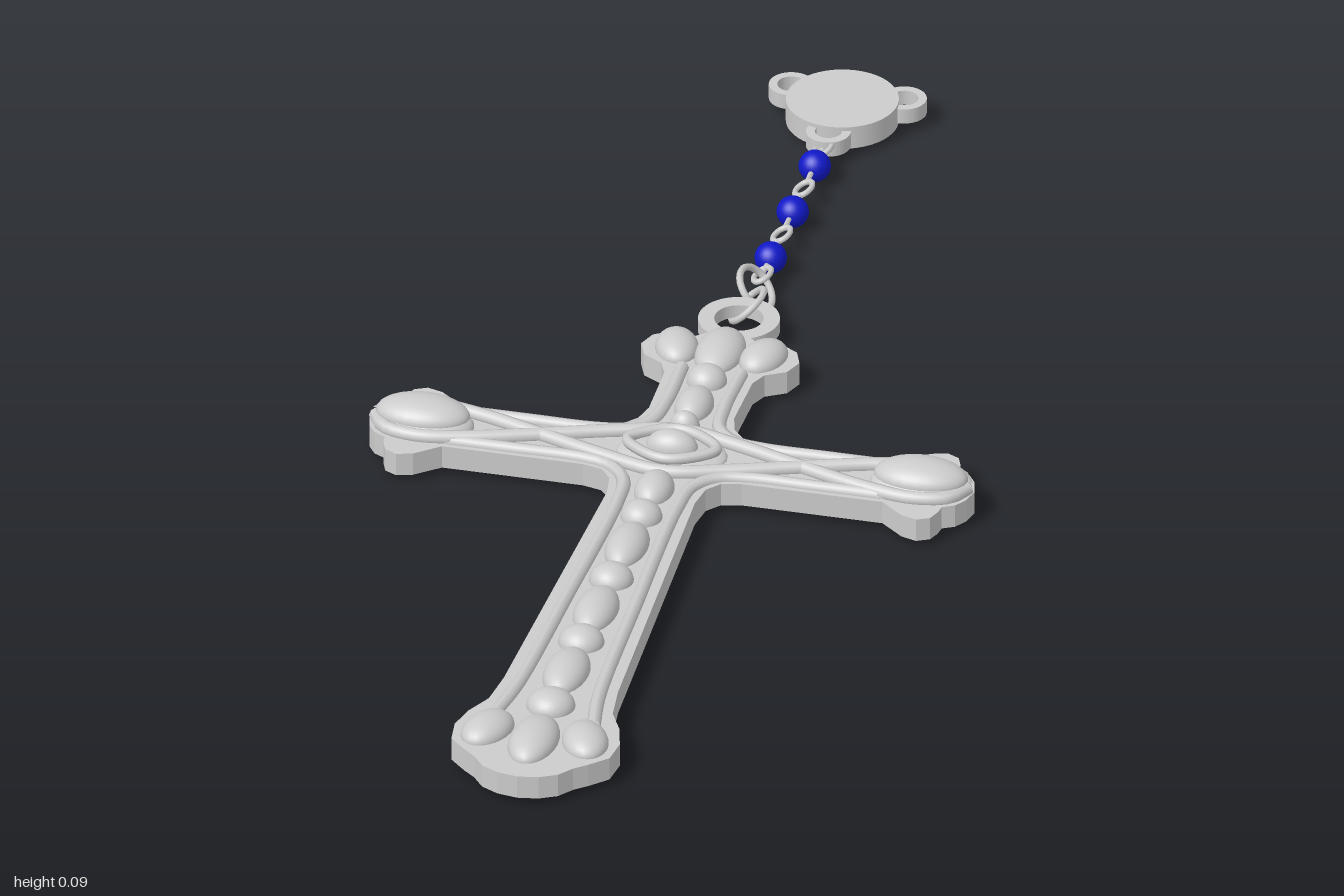
import * as THREE from 'three';

const grey = new THREE.MeshStandardMaterial({ color: 0xcccccc });
const blue = new THREE.MeshStandardMaterial({ color: 0x1018c8 });
const ARM_Z = 0.085; // centre line of the crossbar

export function createModel() {
  const model = new THREE.Group();

  function add(parent, name, geometry, material = grey) {
    const mesh = new THREE.Mesh(geometry, material);
    mesh.name = name;
    parent.add(mesh);
    return mesh;
  }
  function group(name) {
    const g = new THREE.Group();
    g.name = name;
    model.add(g);
    return g;
  }
  // Flat plate from a shape drawn in (x, -z), between two heights
  function plate(shape, y0, y1) {
    const g = new THREE.ExtrudeGeometry(shape, { depth: y1 - y0, bevelEnabled: false, curveSegments: 24 });
    return g.rotateX(-Math.PI / 2).translate(0, y0, 0);
  }
  function flatRing(parent, name, x, z, outer, inner, y0, y1) {
    const s = new THREE.Shape().absarc(0, 0, outer, 0, Math.PI * 2);
    s.holes.push(new THREE.Path().absarc(0, 0, inner, 0, Math.PI * 2));
    add(parent, name, plate(s, y0, y1)).position.set(x, 0, z);
  }
  // Half-ellipsoid ornament
  function dome(parent, name, x, z, rx, rz, y, h, turn = 0) {
    const g = new THREE.SphereGeometry(1, 24, 10, 0, Math.PI * 2, 0, Math.PI / 2);
    const m = add(parent, name, g.scale(rx, h, rz));
    m.position.set(x, y, z);
    m.rotation.y = turn;
  }
  // Raised strand following (x, z) points
  function strand(parent, name, points, y, r, closed = false) {
    const curve = new THREE.CatmullRomCurve3(points.map(([x, z]) => new THREE.Vector3(x, 0, z)), closed);
    add(parent, name, new THREE.TubeGeometry(curve, 64, r, 8, closed)).position.y = y;
  }

  // Cross body: half outline, mirrored
  const cross = group('cross');
  const corner = [[0.32, 0.058], [0.337, 0.072], [0.355, 0.087], [0.378, 0.094], [0.396, 0.085],
    [0.403, 0.067], [0.405, 0.052], [0.422, 0.043], [0.434, 0.025]];
  const half = [
    [0, -0.262], [0.025, -0.257], [0.045, -0.238], [0.055, -0.243], [0.08, -0.243], [0.105, -0.227],
    [0.115, -0.2], [0.104, -0.172], [0.075, -0.155], [0.064, -0.13], [0.062, -0.03], [0.07, 0], [0.087, 0.02], [0.115, 0.027],
    ...corner.map(([x, d]) => [x, ARM_Z - d]), [0.44, ARM_Z],
    ...[...corner].reverse().map(([x, d]) => [x, ARM_Z + d]),
    [0.115, 0.143], [0.087, 0.15], [0.07, 0.17], [0.064, 0.21], [0.083, 0.74], [0.09, 0.8], [0.11, 0.84],
    [0.12, 0.88], [0.115, 0.92], [0.09, 0.945], [0.072, 0.96], [0.055, 0.982], [0.03, 0.995], [0, 1]];
  const mirrored = half.slice(1, -1).reverse().map(([x, z]) => [-x, z]);
  const outline = new THREE.Shape([...half, ...mirrored].map(([x, z]) => new THREE.Vector2(x, -z)));
  add(cross, 'crossBody', plate(outline, 0.015, 0.05));
  flatRing(cross, 'hangingLoop', 0, -0.31, 0.058, 0.035, 0.024, 0.044);

  // Border rails and arm ornaments on both sides
  for (const s of [-1, 1]) {
    strand(cross, 'lowerRail', [[0.072, 0.84], [0.06, 0.76], [0.05, 0.5], [0.043, 0.23], [0.05, 0.17], [0.078, 0.138],
      [0.12, 0.127], [0.22, 0.126], [0.32, 0.126]].map(([x, z]) => [x * s, z]), 0.05, 0.01);
    strand(cross, 'upperRail', [[0.043, -0.15], [0.042, -0.05], [0.05, 0.005], [0.078, 0.034],
      [0.12, 0.043], [0.22, 0.044], [0.32, 0.044]].map(([x, z]) => [x * s, z]), 0.05, 0.01);
    // Woven strands crossing on the arms and framing the centre
    strand(cross, 'wovenStrand', [[-0.43, 0], [-0.41, 0.032], [-0.36, 0.045], [-0.29, 0.033], [-0.19, 0],
      [-0.09, -0.035], [0, -0.058], [0.09, -0.035], [0.19, 0], [0.29, 0.033], [0.36, 0.045], [0.41, 0.032], [0.43, 0]]
      .map(([x, d]) => [x, ARM_Z + d * s]), 0.054, 0.011);
    dome(cross, 'armMount', 0.362 * s, ARM_Z, 0.074, 0.046, 0.05, 0.024);
    dome(cross, 'armOval', 0.362 * s, ARM_Z, 0.068, 0.041, 0.065, 0.026);
    dome(cross, 'footLobe', 0.071 * s, 0.885, 0.033, 0.048, 0.05, 0.024, 0.35 * s);
    dome(cross, 'headLobe', 0.063 * s, -0.2, 0.031, 0.044, 0.05, 0.024, -0.3 * s);
  }

  // Alternating ovals and rounds on the upright: z, half width, half length
  for (const [z, rx, rz] of [[-0.2, 0.035, 0.06], [-0.12, 0.029, 0.028], [-0.047, 0.027, 0.044], [0.01, 0.022, 0.018],
    [0.19, 0.028, 0.042], [0.265, 0.03, 0.029], [0.35, 0.03, 0.058], [0.443, 0.032, 0.031], [0.532, 0.031, 0.06],
    [0.62, 0.033, 0.032], [0.707, 0.032, 0.06], [0.8, 0.035, 0.034], [0.9, 0.035, 0.064]])
    dome(cross, 'uprightBead', 0, z, rx, rz, 0.05, 0.026);

  // Central boss
  dome(cross, 'centreMount', 0, ARM_Z, 0.08, 0.055, 0.05, 0.015);
  strand(cross, 'centreFrame', [[0.065, 0], [0.035, 0.03], [0, 0.042], [-0.035, 0.03], [-0.065, 0],
    [-0.035, -0.03], [0, -0.042], [0.035, -0.03]].map(([x, d]) => [x, ARM_Z + d]), 0.066, 0.008, true);
  dome(cross, 'centreStone', 0, ARM_Z, 0.038, 0.024, 0.06, 0.028);

  // Chain of rings, wire links and blue beads
  const chain = group('chain');
  const Y = 0.035;
  function ring(name, z, rx, rz, tube, tilt) {
    const m = add(chain, name, new THREE.TorusGeometry(1, tube / rx, 8, 28).rotateX(Math.PI / 2).scale(rx, rx, rz));
    m.position.set(0, Y, z);
    m.rotation.z = tilt;
  }
  ring('jumpRing', -0.362, 0.03, 0.034, 0.005, 0.75);
  ring('jumpRing', -0.41, 0.033, 0.037, 0.005, -0.85);
  for (const z of [-0.497, -0.627, -0.757]) {
    add(chain, 'bead', new THREE.SphereGeometry(0.023, 24, 16), blue).position.set(0, Y, z);
    add(chain, 'beadWire', new THREE.CylinderGeometry(0.004, 0.004, 0.09, 8).rotateX(Math.PI / 2)).position.set(0, Y, z);
  }
  for (const z of [-0.448, -0.562, -0.692, -0.806]) ring('smallLink', z, 0.013, 0.019, 0.004, 0.4);

  // Round medal with three loops
  const medal = group('medal');
  add(medal, 'medalDisc', new THREE.CylinderGeometry(0.08, 0.08, 0.035, 48)).position.set(0, 0.0335, -0.92);
  for (const s of [-1, 1]) flatRing(medal, 'sideLoop', 0.082 * s, -0.952, 0.032, 0.02, 0.022, 0.045);
  flatRing(medal, 'lowerLoop', 0, -0.838, 0.032, 0.019, 0.022, 0.045);

  return model;
}
